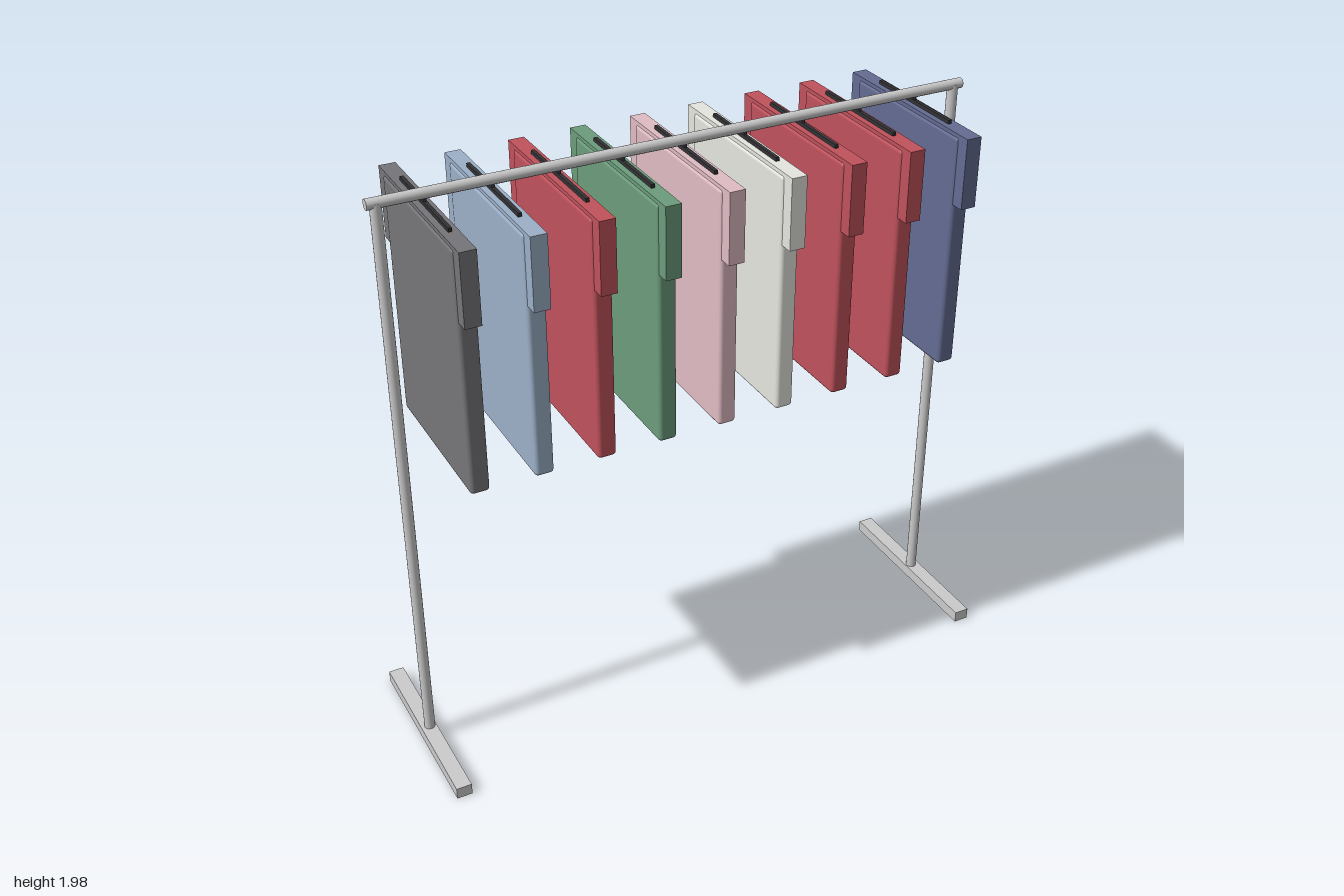
import * as THREE from 'three';
import { RoundedBoxGeometry } from 'three/addons/geometries/RoundedBoxGeometry.js';

const material = (color) => new THREE.MeshStandardMaterial({ color });

function addMesh(parent, name, geometry, mat, x = 0, y = 0, z = 0) {
  const mesh = new THREE.Mesh(geometry, mat);
  mesh.name = name;
  mesh.position.set(x, y, z);
  parent.add(mesh);
  return mesh;
}

export function createModel() {
  const model = new THREE.Group();
  model.name = 'clothesRack';
  const metal = material(0xcccccc);
  const dark = material(0x333336);

  // Top rail
  const rail = addMesh(model, 'topRail', new THREE.CylinderGeometry(0.017, 0.017, 2, 16), metal, 0, 1.963, 0);
  rail.rotation.z = Math.PI / 2;

  // Uprights and feet
  for (const side of [-1, 1]) {
    const label = side > 0 ? 'left' : 'right';
    addMesh(model, label + 'Post', new THREE.CylinderGeometry(0.018, 0.018, 1.925, 16), metal, side * 0.97, 1.0025, 0);
    addMesh(model, label + 'Foot', new THREE.BoxGeometry(0.052, 0.04, 0.65), metal, side * 0.974, 0.02, 0);
  }

  // Shirts, each with a body, a sleeve yoke and a hanger
  const bodyGeometry = new RoundedBoxGeometry(0.062, 0.802, 0.565, 2, 0.013);
  const yokeGeometry = new THREE.BoxGeometry(0.052, 0.235, 0.65);
  const barGeometry = new THREE.BoxGeometry(0.012, 0.018, 0.39);
  const hookGeometry = new THREE.CylinderGeometry(0.005, 0.005, 0.04, 8);
  const colors = [0x76767a, 0x9db0c8, 0xc0525c, 0x6c9c7c, 0xe0bcc4, 0xe6e6e0, 0xc0525c, 0xc0525c, 0x646c92];
  colors.forEach((color, i) => {
    const shirt = new THREE.Group();
    shirt.name = 'shirt' + (i + 1);
    shirt.position.x = (i - 4) * 0.2065;
    const cloth = material(color);
    addMesh(shirt, 'shirtBody', bodyGeometry, cloth, 0, 1.514, 0);
    addMesh(shirt, 'sleeves', yokeGeometry, cloth, 0, 1.8075, 0);
    addMesh(shirt, 'hangerBar', barGeometry, dark, 0, 1.928, 0);
    addMesh(shirt, 'hangerHook', hookGeometry, dark, 0, 1.94, 0);
    model.add(shirt);
  });

  return model;
}
